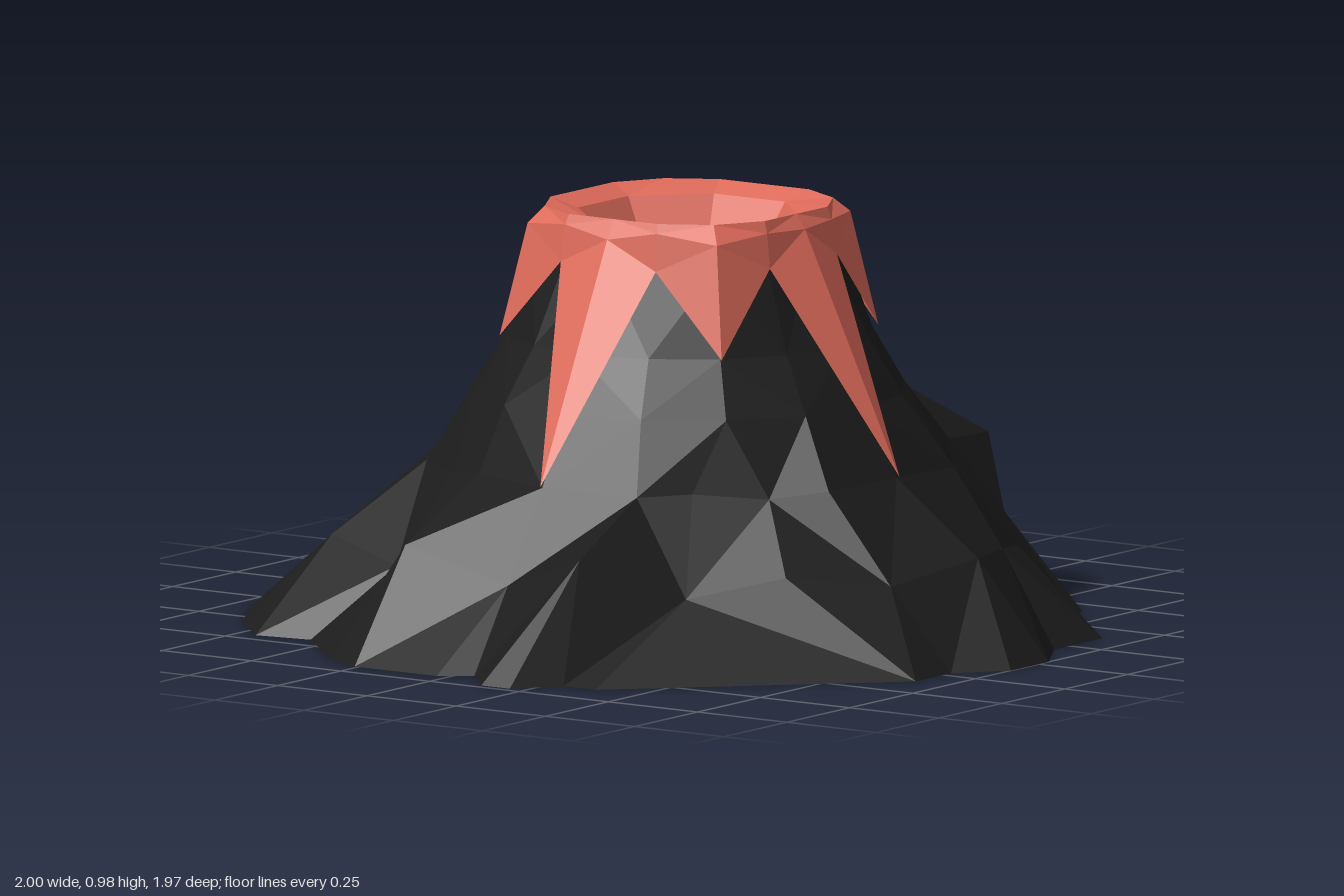
import * as THREE from 'three';

const TAU = Math.PI * 2;

// A ring is a list of { a: angle from +x towards +z, r: radius, y: height }.
const evenRing = (n, fn) => Array.from({ length: n }, (_, k) => {
  const [r, y] = fn(k);
  return { a: (k / n) * TAU, r, y };
});

// The upper cone leans very slightly off centre.
const toPoint = ({ a, r, y }) => {
  const s = y > 0.35 ? 0.012 : 0;
  return new THREE.Vector3(r * Math.cos(a) + s, y, r * Math.sin(a) - s);
};

// Zips neighbouring rings together, even when their point counts differ.
function skin(rings) {
  const out = [];
  const at = (ring, i) => {
    const p = ring[i % ring.length];
    return { ...p, a: p.a + Math.floor(i / ring.length) * TAU };
  };
  const tri = (p, q, s) => {
    const [A, B, C] = [p, q, s].map(toPoint);
    const area = B.clone().sub(A).cross(C.clone().sub(A)).length();
    if (area > 1e-7) for (const v of [A, B, C]) out.push(v.x, v.y, v.z);
  };
  for (let k = 0; k + 1 < rings.length; k++) {
    const lo = rings[k], hi = rings[k + 1];
    let i = 0, j = 0;
    while (i < lo.length || j < hi.length) {
      const gap = at(lo, i + 1).a - at(hi, j + 1).a;
      const tie = Math.abs(gap) < 1e-6;
      const stepLow = j >= hi.length || (i < lo.length && (tie ? i % 2 === 0 : gap < 0));
      if (stepLow) {
        tri(at(lo, i), at(hi, j), at(lo, i + 1));
        i++;
      } else {
        tri(at(lo, i), at(hi, j), at(hi, j + 1));
        j++;
      }
    }
  }
  const geo = new THREE.BufferGeometry();
  geo.setAttribute('position', new THREE.Float32BufferAttribute(out, 3));
  geo.computeVertexNormals();
  return geo;
}

function makeMesh(name, rings, color) {
  const material = new THREE.MeshStandardMaterial({ color, flatShading: true, side: THREE.DoubleSide });
  const mesh = new THREE.Mesh(skin(rings), material);
  mesh.name = name;
  return mesh;
}

// Ragged footprint of the mountain as x, z pairs
const FOOT = [
  [1, -0.04], [1, 0.11], [0.91, 0.22], [0.91, 0.36], [0.38, 0.88], [0.29, 0.88], [0.21, 0.98],
  [0.13, 0.98], [0.04, 0.88], [-0.03, 0.93], [-0.26, 0.93], [-0.36, 0.88], [-0.56, 0.68],
  [-0.7, 0.7], [-0.83, 0.57], [-0.95, 0.36], [-0.93, 0.23], [-0.86, 0.15], [-1, -0.04],
  [-1, -0.38], [-0.9, -0.69], [-0.76, -0.77], [-0.5, -0.8], [-0.36, -0.91], [-0.12, -0.99],
  [0.12, -0.99], [0.42, -0.91], [0.65, -0.67], [0.67, -0.62], [0.91, -0.38], [0.91, -0.19],
];

// Ridges and gullies of the lower slope and the shelf, about every 18 degrees
const LOW_R = [0.83, 0.8, 0.74, 0.7, 0.79, 0.69, 0.79, 0.69, 0.8, 0.73,
  0.78, 0.8, 0.86, 0.79, 0.83, 0.85, 0.87, 0.78, 0.77, 0.77];
const LOW_Y = [0.23, 0.19, 0.22, 0.17, 0.27, 0.18, 0.26, 0.17, 0.21, 0.19,
  0.2, 0.21, 0.22, 0.19, 0.2, 0.15, 0.19, 0.22, 0.18, 0.21];
const SHELF_R = [0.582, 0.62, 0.57, 0.56, 0.6, 0.582, 0.56, 0.57, 0.6, 0.59,
  0.582, 0.6, 0.63, 0.6, 0.66, 0.582, 0.8, 0.63, 0.6, 0.62];

// Steep rock close under the drips: [long drip, short drip, between drips, height]
const CONE = [[0.503, 0.5, 0.5, 0.55], [0.437, 0.425, 0.42, 0.68], [0.33, 0.355, 0.335, 0.875]];

export function createModel() {
  const model = new THREE.Group();
  model.name = 'volcano';

  // Mountain: flat underside, foot, ridged slope, shelf, then the steep cone
  const foot = FOOT.map(([x, z], i) => {
    const a = Math.atan2(z, x);
    return { a: i > 0 && a < 0 ? a + TAU : a, r: Math.hypot(x, z), y: 0 };
  });
  // Shelf corners are spread apart around the tip of each long drip
  const shelf = evenRing(20, (k) => [SHELF_R[k], k % 5 ? 0.385 + 0.01 * Math.sin(k * 2.3) : 0.392])
    .map((p, k) => ({ ...p, a: p.a + [0, 0.1, 0, 0, -0.1][k % 5] }));
  const rock = [
    foot.map((p) => ({ ...p, r: 0 })),
    foot,
    evenRing(20, (k) => [LOW_R[k], LOW_Y[k]]),
    shelf,
    ...CONE.map(([long, short, between, y]) =>
      evenRing(16, (k) => [k % 2 ? between : k % 4 ? short : long, y])),
  ];
  model.add(makeMesh('mountain', rock, 0x1c1c1c));

  // Lava: long drips on the axes, short ones on the diagonals, rim and bowl
  const drip = (k) => (k % 2 ? [0.347, 0.87] : k % 4 ? [0.44, 0.68] : [0.59, 0.395]);
  const lava = [
    evenRing(16, drip),
    evenRing(16, (k) => [k % 2 ? 0.335 : k % 4 ? 0.375 : 0.325, 0.945 + 0.012 * Math.sin(k * 2.7)]),
    evenRing(16, (k) => [k % 2 ? 0.325 : k % 4 ? 0.335 : 0.3, 0.978]),
    ...[[0.26, 0.955], [0.19, 0.84], [0.135, 0.78], [0, 0.755]].map(([r, y]) =>
      evenRing(8, () => [r, y]).map((p) => ({ ...p, a: p.a + TAU / 16 }))),
  ];
  model.add(makeMesh('lavaCap', lava, 0xdd6a5a));

  return model;
}
